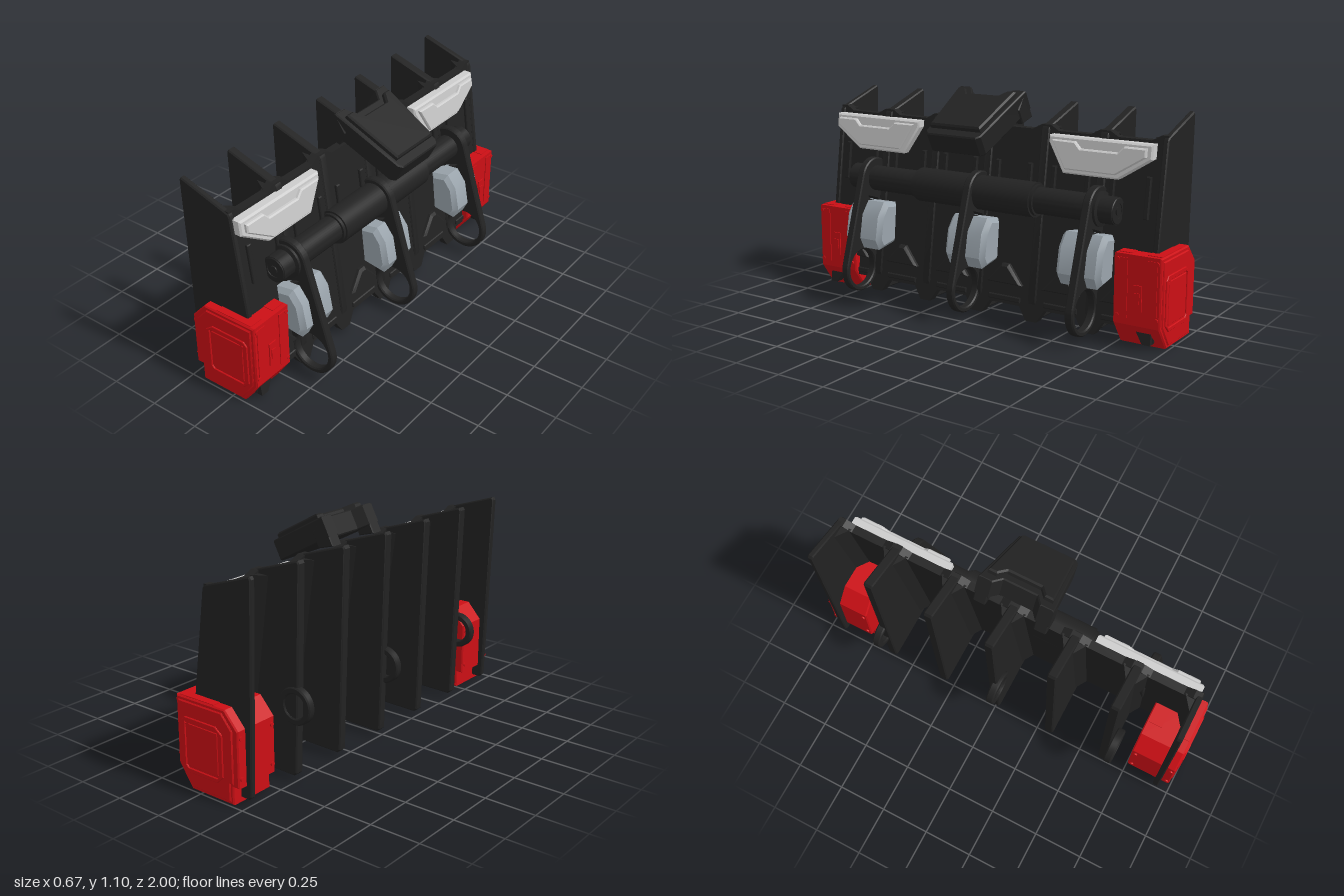
import * as THREE from 'three';
import { toCreasedNormals } from 'three/addons/utils/BufferGeometryUtils.js';

const material = (color) => new THREE.MeshStandardMaterial({ color, roughness: 0.7 });
const shapeOf = (pts) => new THREE.Shape(pts.map(([x, y]) => new THREE.Vector2(x, y)));

// Extrude with the chamfer kept inside the outline and depth; result is centred on z
function extrude(shape, depth, bevel = 0) {
  const g = new THREE.ExtrudeGeometry(shape, {
    depth: depth - 2 * bevel, curveSegments: 28, bevelEnabled: bevel > 0,
    bevelSize: bevel, bevelThickness: bevel, bevelOffset: -bevel, bevelSegments: 1,
  });
  g.translate(0, 0, bevel - depth / 2);
  return g;
}

// x of the sloping front face of the main plate at height y
const slope = (y) => 0.005 + (0.94 - y) * 0.14;

// Outline given as [z, y], extruded along x and leaned onto the plate's slope
function onSlope(pts, from, to, bevel = 0) {
  const g = extrude(shapeOf(pts.map(([z, y]) => [-z, y])), to - from, bevel);
  g.rotateY(Math.PI / 2);
  const p = g.attributes.position;
  for (let i = 0; i < p.count; i++) p.setX(i, p.getX(i) + slope(p.getY(i)) + (from + to) / 2);
  return g;
}

// Outline wrapped around two circles
function hull(x1, y1, r1, x2, y2, r2) {
  const d = Math.atan2(y2 - y1, x2 - x1);
  const phi = Math.acos((r1 - r2) / Math.hypot(x2 - x1, y2 - y1));
  const s = new THREE.Shape();
  s.absarc(x1, y1, r1, d + phi, d - phi + 2 * Math.PI, false);
  s.absarc(x2, y2, r2, d - phi, d + phi, false);
  return s;
}

const circleHole = (x, y, r) => new THREE.Path().absarc(x, y, r, 0, Math.PI * 2, true);

export function createModel() {
  const root = new THREE.Group();
  const black = material(0x222222), red = material(0xcc0f15);
  const light = material(0xcccccc), steel = material(0x9aa4ac);

  const add = (name, geometry, mat, x = 0, y = 0, z = 0, parent = root) => {
    const m = new THREE.Mesh(toCreasedNormals(geometry, 0.5), mat);
    m.name = name;
    m.position.set(x, y, z);
    parent.add(m);
    return m;
  };

  // Main plate: dipped top edge between fins, pointed foot under each fin
  const fins = [-0.925, -0.62, -0.31, 0, 0.315, 0.625, 0.93];
  const clampZ = (z) => Math.max(-0.935, Math.min(0.94, z));
  const foot = [], crest = [];
  for (const z of fins) {
    for (const [dz, y] of [[-0.07, 0.085], [-0.03, 0.022], [0.03, 0.022], [0.07, 0.085]])
      foot.push([clampZ(z + dz), y]);
    for (const [dz, y] of [[-0.07, 0.93], [-0.025, 0.955], [0.025, 0.955], [0.07, 0.93]])
      crest.push([clampZ(z + dz), y]);
  }
  add('mainPlate', onSlope([...foot, ...crest.reverse()], -0.05, -0.008), black);

  // Vertical fins with flared roots behind the plate
  const finProfile = shapeOf([
    [-0.277, 1.02], [-0.268, 1.034], [-0.005, 0.948], [0.004, 0.935], [0.118, 0.13],
    [0.1, 0.025], [-0.232, 0.02], [-0.248, 0.035], [-0.25, 0.08],
  ]);
  fins.forEach((z, i) => {
    const outer = i === 0 || i === fins.length - 1;
    add('fin', extrude(finProfile, outer ? 0.03 : 0.046, 0.006), black, 0, 0, z);
    const w = outer ? 0.015 : 0.022;
    const flare = extrude(shapeOf([[-0.11, -w], [-0.04, -0.065], [-0.04, 0.065], [-0.11, w]]), 0.86);
    flare.rotateX(-Math.PI / 2).translate(0, 0.51, 0);
    const p = flare.attributes.position;
    for (let k = 0; k < p.count; k++) {
      p.setX(k, p.getX(k) + slope(p.getY(k)));
      p.setZ(k, clampZ(p.getZ(k) + z) - z);
    }
    add('finFlare', flare, black, 0, 0, z);
  });

  // Raised ribs and triangular bosses on the plate front
  for (let i = 0; i < fins.length - 1; i++) {
    const z = (fins[i] + fins[i + 1]) / 2;
    for (const dz of [-0.09, 0.09])
      add('plateRib', onSlope([[-0.012, 0.58], [0.012, 0.58], [0.012, 0.77], [-0.012, 0.77]]
        .map(([a, b]) => [a + z + dz, b]), -0.012, 0.006, 0.004), black);
    add('plateBoss', onSlope([[z - 0.1, 0.185], [z + 0.1, 0.185], [z + 0.02, 0.28], [z - 0.02, 0.28]],
      -0.02, 0.018, 0.012), black);
    add('plateFootStrip', onSlope([[z - 0.09, 0.1], [z + 0.09, 0.1], [z + 0.09, 0.125], [z - 0.09, 0.125]],
      -0.015, 0.0, 0.004), black);
  }

  // Light upper panels, mirrored, each with a notched raised layer
  for (const side of [1, -1]) {
    const shift = side > 0 ? 0.025 : -0.02;
    const place = (pts) => pts.map(([z, y]) => [side * z + (side > 0 ? shift : 0.02), y]);
    const panel = [[0.375, 0.918], [0.375, 0.885], [0.46, 0.748], [0.745, 0.748], [0.905, 0.85], [0.905, 0.918]];
    const raised = [[0.40, 0.9], [0.475, 0.77], [0.735, 0.77], [0.88, 0.86], [0.88, 0.9],
      [0.77, 0.9], [0.74, 0.87], [0.55, 0.87], [0.52, 0.9]];
    add('upperPanel', onSlope(place(panel), -0.02, 0.037, 0.008), light);
    add('upperPanelFace', onSlope(place(raised), 0.02, 0.054, 0.006), light);
  }

  // Cross shaft with thick sleeve and stepped end caps
  const shaftX = 0.085, shaftY = 0.61;
  const rod = (name, r, z0, z1) => add(name,
    new THREE.CylinderGeometry(r, r, z1 - z0, 40).rotateX(Math.PI / 2), black, shaftX, shaftY, (z0 + z1) / 2);
  rod('crossShaft', 0.064, -0.738, 0.775);
  rod('shaftSleeve', 0.084, -0.315, 0.353);
  for (const z of [0.353, -0.315]) rod('sleeveCollar', 0.075, z - 0.015, z + 0.015);
  for (const [z, s] of [[0.775, 1], [-0.738, -1]]) {
    const pts = [[0, 0.006], [0.02, 0.006], [0.02, -0.006], [0.036, -0.006], [0.036, 0.004], [0.058, 0.004],
      [0.064, -0.004], [0.064, -0.07], [0.082, -0.075], [0.082, -0.095], [0, -0.095]];
    const cap = new THREE.LatheGeometry(pts.reverse().map(([r, h]) => new THREE.Vector2(r, h)), 40);
    add('shaftCap', cap.rotateX(s * Math.PI / 2), black, shaftX, shaftY, z);
  }

  // Hanging arms with lower rings, rear rings, and the blocks they straddle
  const arm = hull(shaftX, shaftY, 0.105, 0.21, 0.16, 0.121);
  arm.holes.push(circleHole(0.21, 0.16, 0.095));
  arm.holes.push(new THREE.Path([[0.07, 0.488], [0.135, 0.508], [0.15, 0.525], [0.085, 0.5]]
    .map(([x, y]) => new THREE.Vector2(x, y))));
  const ring = new THREE.Shape().absarc(-0.245, 0.365, 0.09, 0, Math.PI * 2, false);
  ring.holes.push(circleHole(-0.245, 0.365, 0.058));
  const block = shapeOf([[0.06, 0.49], [0.155, 0.505], [0.205, 0.44], [0.228, 0.32], [0.2, 0.265], [0.08, 0.285]]);
  for (const z of [-0.63, 0.018, 0.667]) {
    add('hangingArm', extrude(arm, 0.042, 0.006), black, 0, 0, z);
    add('rearRing', extrude(ring, 0.04, 0.006), black, 0, 0, z);
    add('armBlock', extrude(block, 0.23, 0.022), steel, 0, 0, z === 0.018 ? 0.011 : z + (z > 0 ? -0.028 : 0.02));
  }

  // Tilted head block resting on the top edge
  const head = new THREE.Group();
  head.name = 'headBlock';
  head.position.set(-0.09, 0.97, 0.005);
  head.rotation.z = -0.488;
  root.add(head);
  const slab = (name, pts, v0, v1, bevel) => add(name,
    extrude(shapeOf(pts), v1 - v0, bevel).rotateX(-Math.PI / 2), black, 0, (v0 + v1) / 2, 0, head);
  slab('headBody', [[0, -0.19], [0.1, -0.18], [0.375, -0.155], [0.395, -0.135], [0.395, 0.135], [0.375, 0.155],
    [0.1, 0.18], [0, 0.19], [0, 0.12], [0.05, 0.085], [0.05, -0.085], [0, -0.12]], 0.045, 0.15, 0.006);
  slab('headTop', [[0.043, -0.165], [0.349, -0.14], [0.349, 0.14], [0.043, 0.165],
    [0.043, 0.12], [0.09, 0.085], [0.09, -0.085], [0.043, -0.12]], 0.14, 0.175, 0.008);
  for (const s of [1, -1]) {
    const prong = extrude(shapeOf([[0, 0.0], [0.09, 0.02], [0.09, 0.1], [0, 0.148]]), 0.065, 0.005);
    add('headProng', prong, black, 0, 0, s * 0.155, head);
  }

  // Red end boxes
  const boxProfile = shapeOf([[-0.224, 0.355], [-0.15, 0.437], [0.142, 0.437], [0.142, 0.11], [0.065, 0],
    [-0.19, 0], [-0.19, 0.087], [-0.224, 0.087]]);
  const skin = shapeOf([[-0.195, 0.35], [-0.135, 0.42], [0.125, 0.42], [0.125, 0.115], [0.055, 0.015],
    [-0.175, 0.015], [-0.175, 0.1], [-0.195, 0.1]]);
  const octagon = (c) => [[-0.14 + c, 0.12], [-0.105, 0.085 + c], [0.07, 0.085 + c], [0.105 - c, 0.12],
    [0.105 - c, 0.33], [0.085, 0.35 - c], [-0.1, 0.35 - c], [-0.14 + c, 0.32]];
  const frame = shapeOf(octagon(0));
  frame.holes.push(new THREE.Path(octagon(0.022).reverse().map(([x, y]) => new THREE.Vector2(x, y))));
  for (const s of [1, -1]) {
    const box = new THREE.Group();
    box.name = s > 0 ? 'leftEndBox' : 'rightEndBox';
    root.add(box);
    add('boxBody', extrude(boxProfile, 0.233, 0.006), red, 0, 0, s * 0.8715, box);
    add('boxSkin', extrude(skin, 0.02, 0.005), red, 0, 0, s * 0.984, box);
    add('boxFrame', extrude(frame, 0.012, 0.003), red, 0, 0, s * 0.994, box);
    add('boxFaceInset', extrude(shapeOf(octagon(0.03)), 0.01, 0.003), red, 0, 0, s * 0.992, box);
    // Front latch, seam bars, bolts and top slot lips
    const bar = (name, w, h, d, x, y, z) => add(name, new THREE.BoxGeometry(w, h, d), red, x, y, s * z, box);
    bar('latch', 0.012, 0.12, 0.045, 0.142, 0.24, 0.875);
    bar('latchTab', 0.02, 0.05, 0.025, 0.142, 0.24, 0.875);
    for (const z of [0.8, 0.945]) {
      bar('sideBar', 0.008, 0.28, 0.05, 0.142, 0.28, z);
      bar('topLip', 0.2, 0.008, 0.07, 0.02, 0.436, z);
    }
    for (const y of [0.15, 0.41]) for (const z of [0.776, 0.97])
      add('bolt', new THREE.CylinderGeometry(0.01, 0.01, 0.014, 12).rotateZ(Math.PI / 2), red, 0.142, y, s * z, box);
    for (const y of [0.13, 0.32]) for (const z of [0.776, 0.97])
      add('rearBolt', new THREE.CylinderGeometry(0.01, 0.01, 0.014, 12).rotateZ(Math.PI / 2), red, -0.224, y, s * z, box);
  }
  return root;
}
